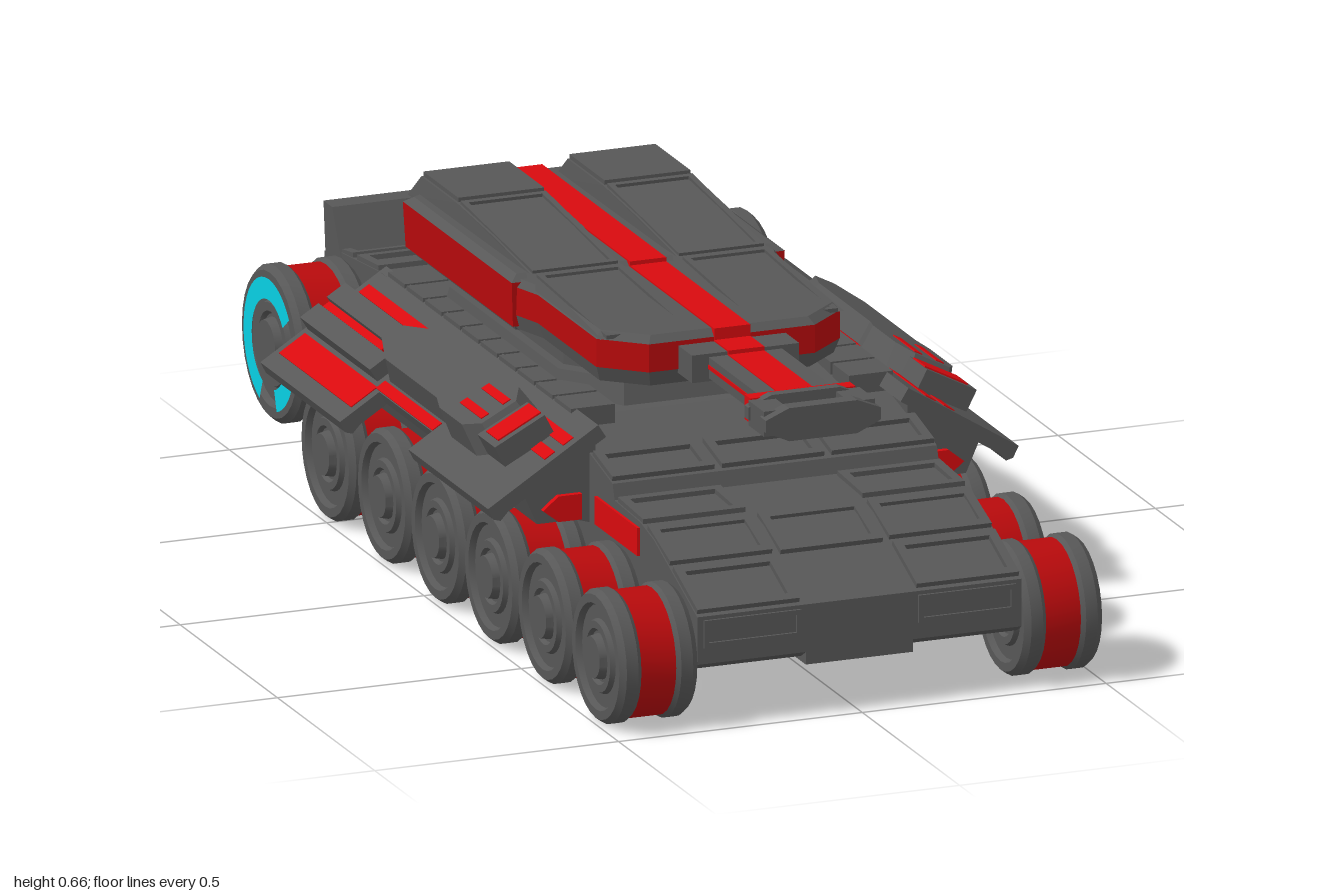
import * as THREE from 'three';
import { toCreasedNormals } from 'three/addons/utils/BufferGeometryUtils.js';

const DARK = 0x575757, DEEP_RED = 0xb80a0c;
const paint = (color) => new THREE.MeshStandardMaterial({ color, flatShading: true });
const grey = paint(DARK), red = paint(0xd80a0e), deepRed = paint(DEEP_RED), cyan = paint(0x08d0e4);
const wheelGrey = new THREE.MeshStandardMaterial({ color: DARK });
const wheelRed = new THREE.MeshStandardMaterial({ color: DEEP_RED });

function add(parent, name, geo, mat = grey) {
  const mesh = new THREE.Mesh(geo, mat);
  mesh.name = name;
  parent.add(mesh);
  return mesh;
}

// Box given by its limits on each axis
function box(parent, name, [x0, x1], [y0, y1], [z0, z1], mat) {
  const geo = new THREE.BoxGeometry(x1 - x0, y1 - y0, z1 - z0);
  geo.translate((x0 + x1) / 2, (y0 + y1) / 2, (z0 + z1) / 2);
  return add(parent, name, geo, mat);
}

const shapeOf = (pts) => new THREE.Shape(pts.map(([a, b]) => new THREE.Vector2(a, b)));
const extrude = (shape, depth) => new THREE.ExtrudeGeometry(shape, { depth, bevelEnabled: false });

// Side profile of [z, y] points, extruded across the width
const sideExtrude = (pts, width) =>
  extrude(shapeOf(pts), width).translate(0, 0, -width / 2).rotateY(-Math.PI / 2);

// Cross-section of [x, y] points, extruded from z0 to z1
const crossExtrude = (pts, z0, z1) => extrude(shapeOf(pts), z1 - z0).translate(0, 0, z0);

// Symmetric plan outline of [halfWidth, z] points, inset s0 at height y0 and s1 at height y1
function layer(half, y0, y1, s0, s1, mid = 0) {
  const outline = [...half, ...[...half].reverse().map(([x, z]) => [-x, z])];
  const geo = extrude(shapeOf(outline.map(([x, z]) => [x, -z])), 1).rotateX(-Math.PI / 2);
  const p = geo.attributes.position;
  for (let i = 0; i < p.count; i++) {
    const top = p.getY(i) > 0.5, s = top ? s1 : s0;
    p.setXYZ(i, p.getX(i) * s, top ? y1 : y0, mid + (p.getZ(i) - mid) * s);
  }
  geo.computeVertexNormals();
  return geo;
}

// Rectangular frame, optionally with cut corners, in the XY plane
function frame(w, h, rim, depth, cut = 0) {
  const ring = (a, b, c) => c
    ? [[-a + c, -b], [a - c, -b], [a, -b + c], [a, b - c], [a - c, b], [-a + c, b], [-a, b - c], [-a, -b + c]]
    : [[-a, -b], [a, -b], [a, b], [-a, b]];
  const shape = shapeOf(ring(w / 2, h / 2, cut));
  shape.holes.push(shapeOf(ring(w / 2 - rim, h / 2 - rim, cut * 0.7)));
  return extrude(shape, depth);
}

// Frame lying on a slope that runs from [z0, y0] back to [z1, y1]
function slopeFrame(parent, name, x, w, [z0, y0], [z1, y1], rim, depth) {
  const m = add(parent, name, frame(w, Math.hypot(y1 - y0, z1 - z0), rim, depth));
  m.position.set(x, (y0 + y1) / 2 - 0.003, (z0 + z1) / 2);
  m.rotation.x = Math.atan2(z1 - z0, y1 - y0);
}

const deck = [[0.985, 0.225], [0.76, 0.315], [0.69, 0.33], [0.56, 0.335], [0.55, 0.365], [0.44, 0.39],
  [0.29, 0.42], [0.17, 0.43], [-0.64, 0.44], [-0.85, 0.42], [-0.93, 0.40]];

function deckPoint(z) {
  const i = Math.max(1, deck.findIndex((p) => p[0] <= z));
  const [[za, ya], [zb, yb]] = [deck[i - 1], deck[i]];
  return [z, ya + (yb - ya) * (z - za) / (zb - za)];
}

function buildHull(root) {
  const hull = new THREE.Group();
  hull.name = 'hull';
  root.add(hull);
  add(hull, 'hullBody', sideExtrude([...deck, [-0.93, 0.2], [-0.68, 0.115], [0.96, 0.115], [0.985, 0.13]], 0.665));
  box(hull, 'bellyPlate', [-0.24, 0.24], [0.108, 0.12], [-0.62, 0.9]);
  box(hull, 'noseLip', [-0.11, 0.11], [0.105, 0.14], [0.9, 0.985]);
  // Deck panels in rows
  const deckPanel = (x, w, z0, z1) => slopeFrame(hull, 'deckPanel', x, w, deckPoint(z0), deckPoint(z1), 0.018, 0.013);
  for (const side of [-1, 1]) {
    for (const [z0, z1] of [[0.975, 0.85], [0.835, 0.72], [0.70, 0.57], [0.54, 0.44], [-0.66, -0.77], [-0.79, -0.9]])
      deckPanel(side * 0.225, 0.21, z0, z1);
    for (let i = 0; i < 10; i++)
      box(hull, 'sidePanel', [side * 0.285 - 0.045, side * 0.285 + 0.045], [0.41, 0.45], [-0.61 + i * 0.095, -0.525 + i * 0.095]);
    add(hull, 'nosePanel', frame(0.2, 0.055, 0.01, 0.01)).position.set(side * 0.22, 0.19, 0.98);
  }
  for (const [z0, z1] of [[0.84, 0.72], [0.54, 0.44], [-0.66, -0.77], [-0.79, -0.9]]) deckPanel(0, 0.21, z0, z1);
  // Rear wing, light strips and lamp housing
  add(hull, 'rearWing', sideExtrude([[-0.84, 0.41], [-0.885, 0.5], [-0.93, 0.5], [-0.92, 0.4]], 0.67));
  box(hull, 'lightStrip', [-0.31, 0.31], [0.43, 0.445], [-0.927, -0.9], cyan);
  box(hull, 'lightStrip', [-0.31, 0.31], [0.463, 0.474], [-0.929, -0.9], cyan);
  add(hull, 'lampHousing', frame(0.6, 0.21, 0.045, 0.075, 0.04)).position.set(0, 0.31, -1);
  for (let i = 0; i < 5; i++) {
    const x = (i - 2) * 0.1;
    box(hull, 'lampDivider', [x - 0.02, x + 0.02], [0.24, 0.38], [-0.975, -0.92]);
    if (i < 4) box(hull, 'rearLamp', [x + 0.025, x + 0.075], [0.275, 0.345], [-0.955, -0.92], cyan);
  }
}

// Wheel lathe profiles as [radius factor, offset along the axle]
const lathe = (pts, r) => toCreasedNormals(
  new THREE.LatheGeometry(pts.map(([a, b]) => new THREE.Vector2(a * r, b)), 28).rotateZ(-Math.PI / 2), 0.5);
const rim = [[0.94, 0.034], [1, 0.044], [1, 0.068], [0.93, 0.08], [0.8, 0.08], [0.76, 0.068], [0.56, 0.068],
  [0.53, 0.078], [0.42, 0.078], [0.38, 0.07], [0.34, 0.07]];
const outerRim = [...rim, [0.31, 0.088], [0, 0.088]];
const innerRim = [...rim, [0, 0.07]].reverse().map(([r, a]) => [r, -a]);

function wheel(parent, r, y, z) {
  const g = new THREE.Group();
  g.name = 'wheel';
  g.position.set(0.415, y, z);
  add(g, 'innerRim', lathe(innerRim, r), wheelGrey);
  add(g, 'drum', lathe([[0.95, -0.038], [0.95, 0.038]], r), wheelRed);
  add(g, 'outerRim', lathe(outerRim, r), wheelGrey);
  parent.add(g);
  return g;
}

function buildSide(mirror) {
  const side = new THREE.Group();
  side.name = mirror > 0 ? 'leftSide' : 'rightSide';
  side.scale.x = mirror;
  for (const z of [0.87, 0.595, 0.32, 0.045, -0.23, -0.52]) wheel(side, 0.131, 0.132, z);
  // Raised rear wheel with a broken light ring
  const rear = wheel(side, 0.154, 0.268, -0.805);
  for (const [start, sweep] of [[-1.2, 3.7], [3.6, 0.8]]) {
    const ring = add(rear, 'lightRing', new THREE.RingGeometry(0.088, 0.13, 24, 1, start, sweep), cyan);
    ring.rotation.y = Math.PI / 2;
    ring.position.x = 0.082;
  }
  box(side, 'rearAxleArm', [0.32, 0.36], [0.13, 0.28], [-0.85, -0.6]);
  box(side, 'hullSidePanel', [0.32, 0.338], [0.262, 0.318], [0.47, 0.69], red);
  // Closed housing under the fender, with a red end cap
  add(side, 'fenderHousing', crossExtrude([[0.32, 0.25], [0.36, 0.262], [0.44, 0.262], [0.47, 0.33], [0.32, 0.42]], -0.62, 0.43));
  add(side, 'fenderEndCap', crossExtrude([[0.352, 0.265], [0.4, 0.265], [0.432, 0.29], [0.4, 0.316], [0.352, 0.316]], 0.4, 0.442), red);

  // Sloping fender: x runs outwards down the slope, y is its normal
  const fender = new THREE.Group();
  fender.name = 'fender';
  fender.position.set(0.335, 0.438, 0);
  fender.rotation.z = -0.56;
  side.add(fender);
  for (const [u, z0, z1] of [[0.285, -0.65, -0.24], [0.19, -0.24, 0.03], [0.247, 0.03, 0.44]]) {
    const plate = [[-0.02, -0.03], [u - 0.03, -0.03], [u - 0.008, -0.036], [u + 0.002, -0.025], [u, 0], [-0.02, 0]];
    add(fender, 'fenderPlate', crossExtrude(plate, z0, z1));
  }
  box(fender, 'fenderStripe', [0.185, 0.248], [-0.01, 0.002], [-0.63, -0.26], red);
  box(fender, 'fenderStripe', [0.03, 0.055], [-0.01, 0.002], [-0.63, 0.42], red);
  box(fender, 'fenderStripe', [0.165, 0.188], [-0.01, 0.002], [-0.26, 0.03], red);
  box(fender, 'fenderStripe', [0.075, 0.1], [-0.01, 0.002], [0.3, 0.42], red);
  box(fender, 'fenderStripe', [0.112, 0.128], [0, 0.024], [-0.63, -0.33], red);
  for (const u of [0.065, 0.13]) box(fender, 'fenderRail', [u, u + 0.045], [0, 0.03], [-0.64, -0.28]);
  // Equipment pod on the fender
  const half = [[0.045, 0.28], [0.075, 0.23], [0.075, 0.1], [0.06, 0.05], [0.06, -0.25], [0.025, -0.35]];
  const pod = new THREE.Group();
  pod.name = 'fenderPod';
  pod.position.x = 0.1;
  pod.rotation.z = 0.08;
  fender.add(pod);
  add(pod, 'podBody', layer(half, -0.008, 0.054, 1, 0.88));
  box(pod, 'podNose', [-0.055, 0.06], [0, 0.046], [0.26, 0.35]);
  box(pod, 'podNosePatch', [-0.054, 0.045], [0.01, 0.049], [0.275, 0.335], red);
  for (const u of [-0.035, 0.015]) box(pod, 'podStripe', [u, u + 0.018], [0.046, 0.056], [0.12, 0.23], red);
  return side;
}

function buildTurret(root) {
  const turret = new THREE.Group();
  turret.name = 'turret';
  turret.position.x = -0.04;
  root.add(turret);
  // Stepped neck
  const neck = [[0.15, 0.25], [0.24, 0.14], [0.24, -0.42], [0.15, -0.52]];
  add(turret, 'turretRing', layer(neck, 0.42, 0.47, 1.04, 1, -0.15));
  add(turret, 'turretNeck', layer(neck, 0.465, 0.515, 0.92, 0.92, -0.15));
  // Body: wide rear and slimmer front, each with skirt, red band and roof
  const rear = [[0.28, 0], [0.28, -0.56], [0.15, -0.64]];
  const front = [[0.17, 0.43], [0.25, 0.36], [0.25, 0.06], [0.275, -0.02]];
  add(turret, 'rearSkirt', layer(rear, 0.505, 0.53, 0.95, 0.98, -0.3));
  add(turret, 'rearBand', layer(rear, 0.515, 0.604, 0.985, 1, -0.3), deepRed);
  add(turret, 'rearRoof', layer(rear, 0.604, 0.616, 1, 0.94, -0.3));
  add(turret, 'frontSkirt', layer(front, 0.508, 0.54, 0.96, 1, 0.15));
  add(turret, 'frontBand', layer(front, 0.538, 0.594, 1, 1), deepRed);
  add(turret, 'frontRoof', layer(front, 0.594, 0.608, 1, 0.95, 0.15));
  // Roof lobes with inset panels
  for (const s of [-1, 1]) {
    const x = s * 0.15;
    const geo = sideExtrude([[0.38, 0.598], [0, 0.618], [-0.2, 0.638], [-0.38, 0.65], [-0.56, 0.65], [-0.61, 0.6]], 0.2);
    const p = geo.attributes.position;
    for (let i = 0; i < p.count; i++) if (p.getY(i) > 0.61) p.setX(i, p.getX(i) * 0.92);
    geo.computeVertexNormals();
    add(turret, 'roofLobe', geo).position.x = x;
    box(turret, 'roofHatch', [x - 0.088, x + 0.088], [0.64, 0.659], [-0.56, -0.38]);
    slopeFrame(turret, 'roofPanel', x, 0.175, [0, 0.619], [-0.37, 0.651], 0.012, 0.008);
    slopeFrame(turret, 'roofPanel', x, 0.175, [0.38, 0.6], [0.02, 0.618], 0.012, 0.008);
  }
  box(turret, 'roofStripe', [-0.037, 0.037], [0.595, 0.619], [-0.638, 0], red);
  box(turret, 'roofStripe', [-0.037, 0.037], [0.51, 0.611], [0, 0.432], red);
  // Flat gun barrel
  box(turret, 'gunMantlet', [-0.11, 0.11], [0.53, 0.585], [0.42, 0.5]);
  box(turret, 'gunBarrel', [-0.075, 0.075], [0.536, 0.578], [0.45, 0.79]);
  box(turret, 'barrelSideStripe', [-0.077, 0.077], [0.555, 0.563], [0.5, 0.75], red);
  box(turret, 'barrelStripe', [-0.037, 0.037], [0.56, 0.58], [0.5, 0.75], red);
  box(turret, 'mantletStripe', [-0.037, 0.037], [0.57, 0.588], [0.43, 0.505], red);
  box(turret, 'muzzleCollar', [-0.108, 0.108], [0.536, 0.585], [0.765, 0.795], red);
  // Eight-sided muzzle, open from top to bottom between two prongs
  const muzzle = [[-0.118, 0.548], [-0.07, 0.526], [0.07, 0.526], [0.118, 0.548], [0.118, 0.572], [0.07, 0.592], [-0.07, 0.592], [-0.118, 0.572]];
  add(turret, 'muzzleBase', crossExtrude(muzzle, 0.79, 0.81));
  add(turret, 'muzzleTip', crossExtrude(muzzle, 0.87, 0.9));
  for (const s of [-1, 1]) box(turret, 'muzzleProng', [s * 0.088 - 0.026, s * 0.088 + 0.026], [0.534, 0.584], [0.8, 0.88]);
}

export function createModel() {
  const root = new THREE.Group();
  root.name = 'wheeledTank';
  buildHull(root);
  root.add(buildSide(1), buildSide(-1));
  buildTurret(root);
  return root;
}
